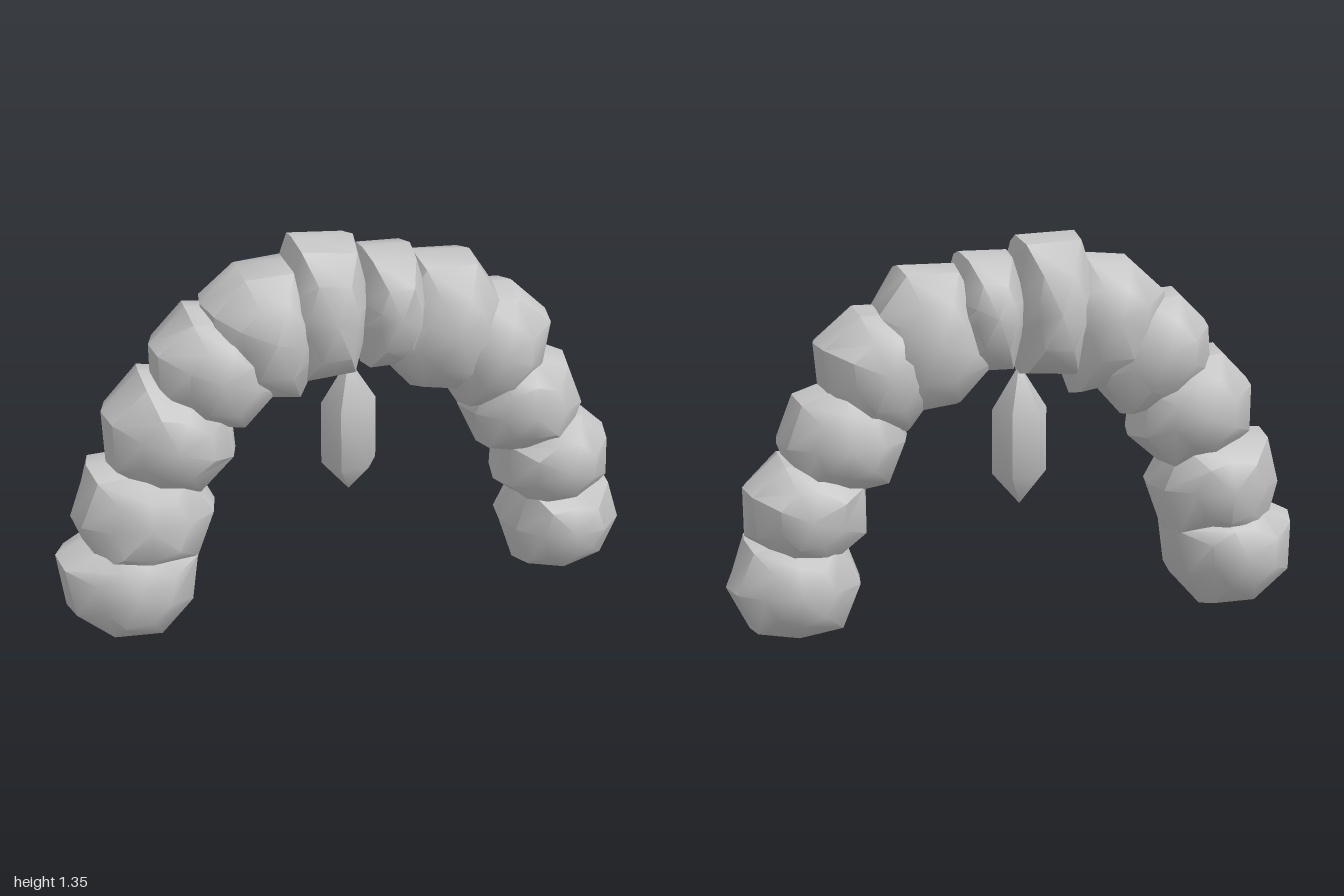
import * as THREE from 'three';
import { mergeVertices, toCreasedNormals } from 'three/addons/utils/BufferGeometryUtils.js';

const stone = new THREE.MeshStandardMaterial({ color: 0xc4c4c4 });
stone.name = 'pale grey stone';

function seeded(seed) {
  let s = seed;
  return () => {
    s = (s * 16807) % 2147483647;
    return s / 2147483647;
  };
}

// Rough boulder: a coarse sphere whose eight meridians have their own reach,
// counted counterclockwise from +x, with slightly uneven front and back.
// Turn shifts the meridians by that share of a step.
function boulder(x, y, turn, reach, seed) {
  const random = seeded(seed * 7919 + 13);
  let geo = new THREE.SphereGeometry(1, 8, 6);
  geo.rotateX(Math.PI / 2);
  geo.deleteAttribute('uv');
  geo.deleteAttribute('normal');
  geo = mergeVertices(geo, 1e-4);
  const pos = geo.attributes.position;
  const v = new THREE.Vector3();
  for (let i = 0; i < pos.count; i++) {
    v.fromBufferAttribute(pos, i);
    const step = Math.round(Math.atan2(v.y, v.x) / (Math.PI / 4));
    const onRim = Math.abs(v.z) < 0.01;
    const r = reach[(step + 8) % 8] * (onRim ? 1 : 0.98 + 0.1 * random());
    const depth = 0.19 + 0.02 * random();
    pos.setXYZ(i, v.x * r, v.y * r, v.z * depth);
  }
  geo.rotateZ(turn * Math.PI / 4);
  geo.translate(x, y, 0);
  return new THREE.Mesh(toCreasedNormals(geo, 0.75), stone);
}

export function createModel() {
  const model = new THREE.Group();
  model.name = 'stoneArch';

  // Arch boulders from the right foot to the left foot: centre x, y, turn, reaches
  const rocks = [
    [-0.755, 0.22, 0.5, [0.26, 0.2, 0.2, 0.265, 0.24, 0.235, 0.235, 0.225]],
    [-0.7, 0.46, 0, [0.24, 0.23, 0.19, 0.25, 0.24, 0.25, 0.22, 0.25]],
    [-0.6, 0.73, 0.5, [0.22, 0.21, 0.235, 0.235, 0.23, 0.2, 0.22, 0.235]],
    [-0.45, 0.95, 0.5, [0.2, 0.2, 0.215, 0.22, 0.22, 0.22, 0.25, 0.24]],
    [-0.28, 1.07, 0.5, [0.2, 0.225, 0.21, 0.22, 0.21, 0.26, 0.29, 0.2]],
    [-0.08, 1.1, 0.5, [0.15, 0.26, 0.27, 0.18, 0.18, 0.25, 0.24, 0.14]],
    [0.13, 1.1, 0.5, [0.14, 0.21, 0.21, 0.14, 0.14, 0.22, 0.22, 0.14]],
    [0.32, 1.03, 0.5, [0.21, 0.245, 0.245, 0.2, 0.25, 0.26, 0.29, 0.23]],
    [0.48, 0.93, 0.5, [0.23, 0.22, 0.22, 0.2, 0.2, 0.24, 0.24, 0.215]],
    [0.61, 0.7, 0, [0.21, 0.22, 0.21, 0.23, 0.22, 0.21, 0.18, 0.22]],
    [0.74, 0.48, 0.5, [0.21, 0.2, 0.19, 0.225, 0.225, 0.2, 0.2, 0.21]],
    [0.78, 0.23, 0, [0.22, 0.22, 0.18, 0.23, 0.22, 0.23, 0.19, 0.21]],
  ];
  const arch = new THREE.Group();
  arch.name = 'arch';
  rocks.forEach(([x, y, turn, reach], i) => {
    const mesh = boulder(x, y, turn, reach, i + 1);
    mesh.name = 'boulder' + (i + 1);
    arch.add(mesh);
  });
  model.add(arch);

  // Six-sided crystal hanging below the crown
  const profile = [[0, 0.43], [0.095, 0.54], [0.095, 0.76], [0, 0.91]]
    .map(([r, y]) => new THREE.Vector2(r, y));
  const crystalGeo = new THREE.LatheGeometry(profile, 6, Math.PI / 2);
  const crystal = new THREE.Mesh(toCreasedNormals(crystalGeo, 0.75), stone);
  crystal.name = 'hangingCrystal';
  crystal.position.x = 0.005;
  model.add(crystal);

  return model;
}
